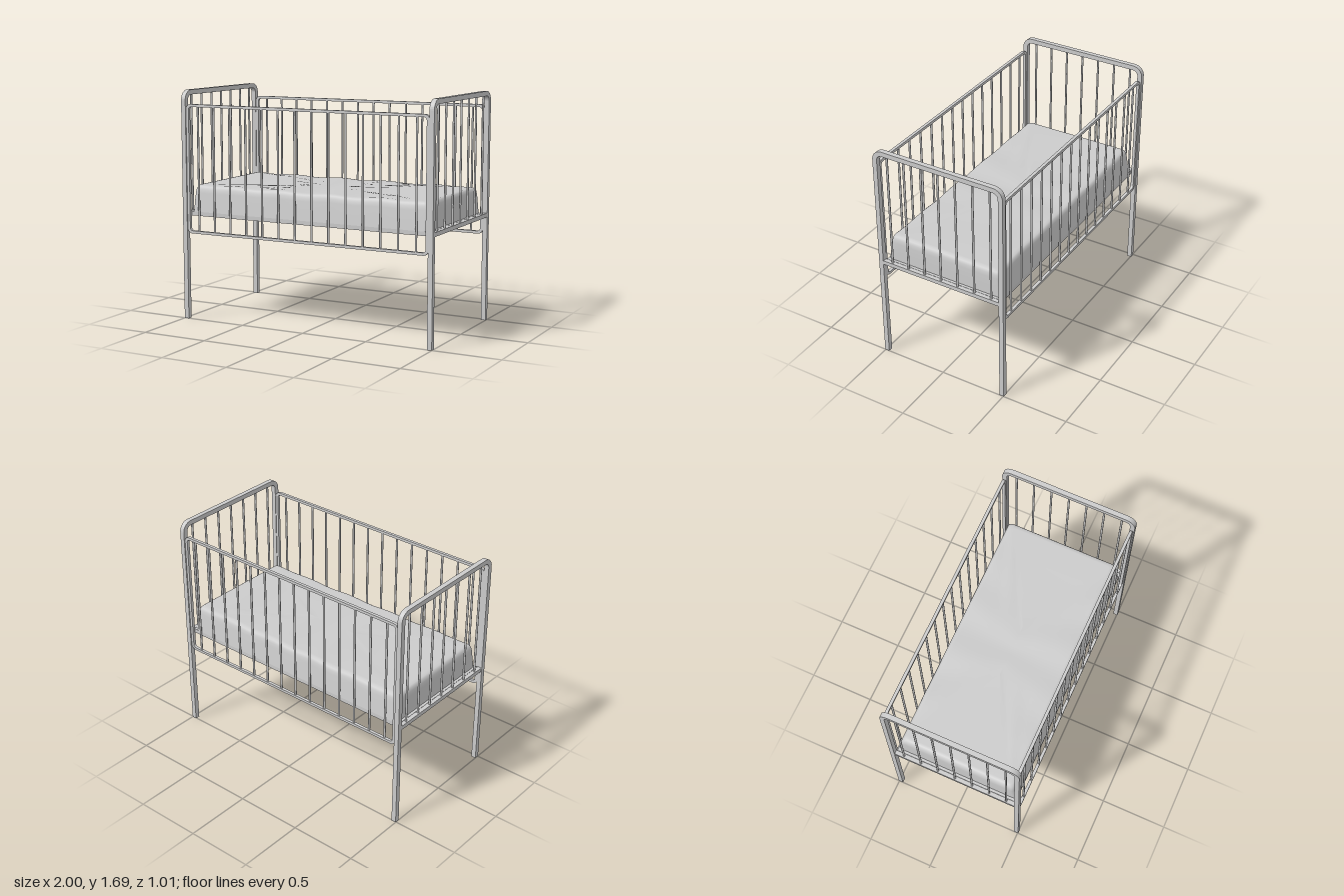
import * as THREE from 'three';

const mat = new THREE.MeshStandardMaterial({ color: 0xcccccc });
const fabric = new THREE.MeshStandardMaterial({ color: 0xcccccc, side: THREE.DoubleSide });

function add(parent, name, geo, x = 0, y = 0, z = 0, material = mat) {
  const m = new THREE.Mesh(geo, material);
  m.name = name;
  m.position.set(x, y, z);
  parent.add(m);
  return m;
}

// Trace a rounded rectangle; the lower corners are square when rb is 0
function roundedRect(path, x0, y0, x1, y1, rt, rb) {
  path.moveTo(x0 + rb, y0);
  path.lineTo(x1 - rb, y0);
  if (rb) path.absarc(x1 - rb, y0 + rb, rb, -Math.PI / 2, 0, false);
  path.lineTo(x1, y1 - rt);
  path.absarc(x1 - rt, y1 - rt, rt, 0, Math.PI / 2, false);
  path.lineTo(x0 + rt, y1);
  path.absarc(x0 + rt, y1 - rt, rt, Math.PI / 2, Math.PI, false);
  path.lineTo(x0, y0 + rb);
  if (rb) path.absarc(x0 + rb, y0 + rb, rb, Math.PI, Math.PI * 1.5, false);
  return path;
}

function extrude(shape, depth) {
  return new THREE.ExtrudeGeometry(shape, { depth, bevelEnabled: false, curveSegments: 5 })
    .translate(0, 0, -depth / 2);
}

// Arched end: two legs and a top rail in one bent bar, with spindles
function endFrame(side) {
  const g = new THREE.Group();
  g.name = side > 0 ? 'leftEnd' : 'rightEnd';
  const O = 0.505, I = 0.47, top = 1.69, R = 0.075, r = 0.04;
  const s = new THREE.Shape();
  s.moveTo(I, 0);
  s.lineTo(O, 0);
  s.lineTo(O, top - R);
  s.absarc(O - R, top - R, R, 0, Math.PI / 2, false);
  s.lineTo(-O + R, top);
  s.absarc(-O + R, top - R, R, Math.PI / 2, Math.PI, false);
  s.lineTo(-O, 0);
  s.lineTo(-I, 0);
  s.lineTo(-I, top - 0.035 - r);
  s.absarc(-I + r, top - 0.035 - r, r, Math.PI, Math.PI / 2, true);
  s.lineTo(I - r, top - 0.035);
  s.absarc(I - r, top - 0.035 - r, r, Math.PI / 2, 0, true);
  add(g, 'arch', extrude(s, 0.036).rotateY(Math.PI / 2));
  add(g, 'endRail', new THREE.BoxGeometry(0.03, 0.03, 0.95), 0, 0.785, 0);
  for (let i = -3; i <= 3; i++)
    add(g, 'endSpindle', new THREE.CylinderGeometry(0.008, 0.008, 0.87, 8), 0, 1.225, i * 0.1335);
  g.position.x = side * 0.982;
  return g;
}

// Long side: closed rounded frame with spindles
function sideFrame(side) {
  const g = new THREE.Group();
  g.name = side > 0 ? 'frontSide' : 'backSide';
  const s = roundedRect(new THREE.Shape(), -0.965, 0.642, 0.965, 1.59, 0.04, 0.04);
  s.holes.push(roundedRect(new THREE.Path(), -0.943, 0.662, 0.943, 1.57, 0.022, 0.022));
  add(g, 'sideRails', extrude(s, 0.022));
  for (let i = 0; i < 14; i++)
    add(g, 'sideSpindle', new THREE.CylinderGeometry(0.008, 0.008, 0.92, 8), (i - 6.5) * 0.1337, 1.116, 0);
  g.position.z = side * 0.486;
  return g;
}

// Rectangular base with cross slats
function base() {
  const g = new THREE.Group();
  g.name = 'mattressBase';
  for (const s of [-1, 1]) {
    add(g, 'longRail', new THREE.BoxGeometry(1.93, 0.03, 0.03), 0, 0.785, s * 0.448);
    add(g, 'crossRail', new THREE.BoxGeometry(0.03, 0.03, 0.9), s * 0.95, 0.785, 0);
  }
  for (let i = -4; i <= 4; i++)
    add(g, 'slat', new THREE.CylinderGeometry(0.008, 0.008, 0.89, 8).rotateX(Math.PI / 2), i * 0.19, 0.785, 0);
  return g;
}

// Soft hollow mattress: rounded loops rising from the hem and closing over the top
function mattressGeometry() {
  // half length, half width, height of each loop
  const rings = [
    [0.945, 0.463, 0.8], [0.943, 0.452, 0.87], [0.94, 0.441, 0.94], [0.936, 0.436, 0.967],
    [0.927, 0.427, 0.986], [0.915, 0.415, 0.995], [0.895, 0.395, 0.998],
    [0.7, 0.28, 1], [0.45, 0.14, 1], [0.2, 0, 1],
  ];
  const pos = [], index = [], nx = 40, nz = 16, nc = 4;
  // Corner centres, visited so the side walls face outwards
  const corners = [[1, 1, 0], [-1, 1, 1], [-1, -1, 2], [1, -1, 3]];
  let count = 0;
  for (const [hx, hz, y] of rings) {
    const r = Math.min(0.03, hz * 0.3), loop = [];
    corners.forEach(([sx, sz, q], k) => {
      for (let i = 0; i <= nc; i++) {
        const a = (q + i / nc) * Math.PI / 2;
        loop.push([sx * (hx - r) + r * Math.cos(a), sz * (hz - r) + r * Math.sin(a)]);
      }
      const [ex, ez] = loop[loop.length - 1], [tx, tz] = corners[(k + 1) % 4];
      const n = k % 2 ? nz : nx;
      for (let i = 1; i < n; i++) {
        const t = i / n;
        loop.push(k % 2 ? [ex, ez + (tz * (hz - r) - ez) * t] : [ex + (tx * (hx - r) - ex) * t, ez]);
      }
    });
    count = loop.length;
    const soft = Math.max(0, (y - 0.9) / 0.1);
    for (const [x, z] of loop) {
      const wave = 0.005 * (1 + Math.sin(x * 16 + 1.5 + z)) * (1 - Math.abs(x) ** 4);
      pos.push(x, y - soft * wave, z);
    }
  }
  for (let j = 0; j < rings.length - 1; j++)
    for (let i = 0; i < count; i++) {
      const a = j * count + i, b = j * count + (i + 1) % count;
      index.push(a, a + count, b, b, a + count, b + count);
    }
  const geo = new THREE.BufferGeometry();
  geo.setAttribute('position', new THREE.Float32BufferAttribute(pos, 3));
  geo.setIndex(index);
  geo.computeVertexNormals();
  return geo;
}

export function createModel() {
  const model = new THREE.Group();
  model.name = 'cot';
  for (const s of [-1, 1]) model.add(endFrame(s), sideFrame(s));
  model.add(base());
  add(model, 'mattress', mattressGeometry(), 0, 0, 0, fabric);
  return model;
}
